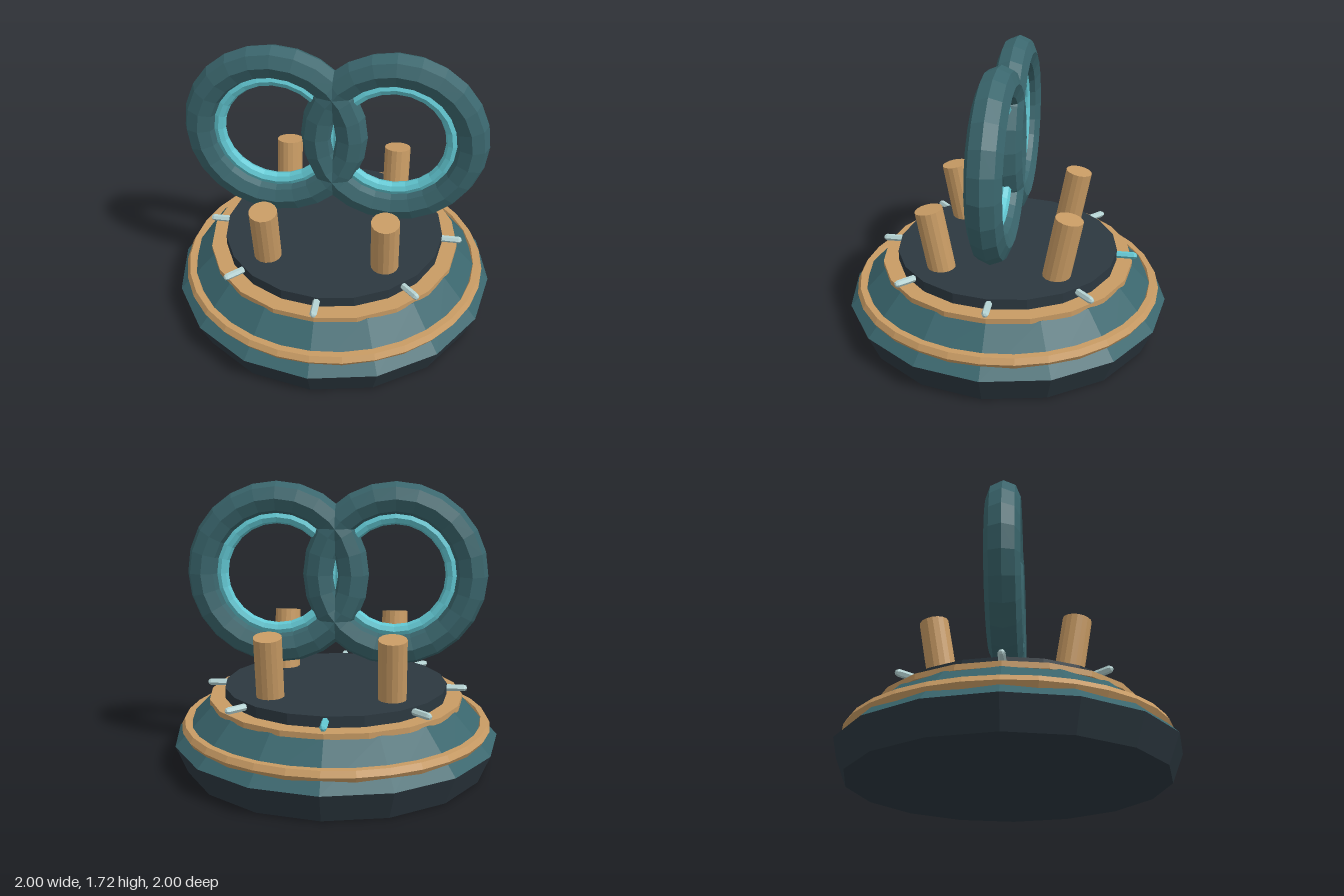
import * as THREE from 'three';

const material = (name, color) => {
  const m = new THREE.MeshStandardMaterial({ color });
  m.name = name;
  m.flatShading = true;
  return m;
};

export function createModel() {
  const dark = material('dark slate', 0x2c3840);
  const teal = material('teal', 0x3a666d);
  const gold = material('gold', 0xc89b64);
  const cyan = material('bright cyan', 0x62c8d3);
  const pale = material('pale blue', 0xb5d3d3);

  const model = new THREE.Group();
  model.name = 'ringPedestal';

  const add = (name, geometry, mat, x = 0, y = 0, z = 0, parent = model) => {
    const mesh = new THREE.Mesh(geometry, mat);
    mesh.name = name;
    mesh.position.set(x, y, z);
    parent.add(mesh);
    return mesh;
  };
  // A round tier between two heights
  const tier = (name, rBottom, rTop, y0, y1, sides, mat) =>
    add(name, new THREE.CylinderGeometry(rTop, rBottom, y1 - y0, sides), mat, 0, (y0 + y1) / 2, 0);

  // Stepped base
  tier('foot', 0.93, 1.0, 0, 0.17, 16, dark);
  tier('slopedBody', 1.0, 0.775, 0.17, 0.4, 16, teal);
  tier('goldPlate', 0.78, 0.78, 0.392, 0.425, 20, gold);
  tier('topDisc', 0.685, 0.685, 0.42, 0.49, 20, dark);
  const trim = add('goldTrim', new THREE.TorusGeometry(0.915, 0.038, 6, 32), gold, 0, 0.25, 0);
  trim.rotation.x = Math.PI / 2;

  // Eight pins around the top disc, the rear one bright
  for (let i = 0; i < 8; i++) {
    const a = (i * Math.PI) / 4;
    const holder = new THREE.Group();
    holder.name = 'pinHolder';
    holder.rotation.y = a;
    model.add(holder);
    const pin = add('pin', new THREE.CapsuleGeometry(0.021, 0.11, 2, 6), i === 4 ? cyan : pale, 0, 0.463, 0.734, holder);
    pin.rotation.x = Math.PI / 2;
  }

  // Four posts leaning outward
  const lean = 0.175;
  for (const sx of [-1, 1]) {
    for (const sz of [-1, 1]) {
      const post = add('post', new THREE.CylinderGeometry(0.083, 0.083, 0.4, 16), gold, sx * 0.355, 0.66, sz * 0.375);
      post.rotation.x = sz * lean;
    }
  }

  // Two overlapping rings with bright inner liners
  for (const sx of [-1, 1]) {
    add('ring', new THREE.TorusGeometry(0.455, 0.1, 8, 24), teal, sx * 0.355, 1.16, 0);
    add('ringLiner', new THREE.TorusGeometry(0.343, 0.04, 8, 24), cyan, sx * 0.355, 1.16, 0);
  }

  return model;
}
